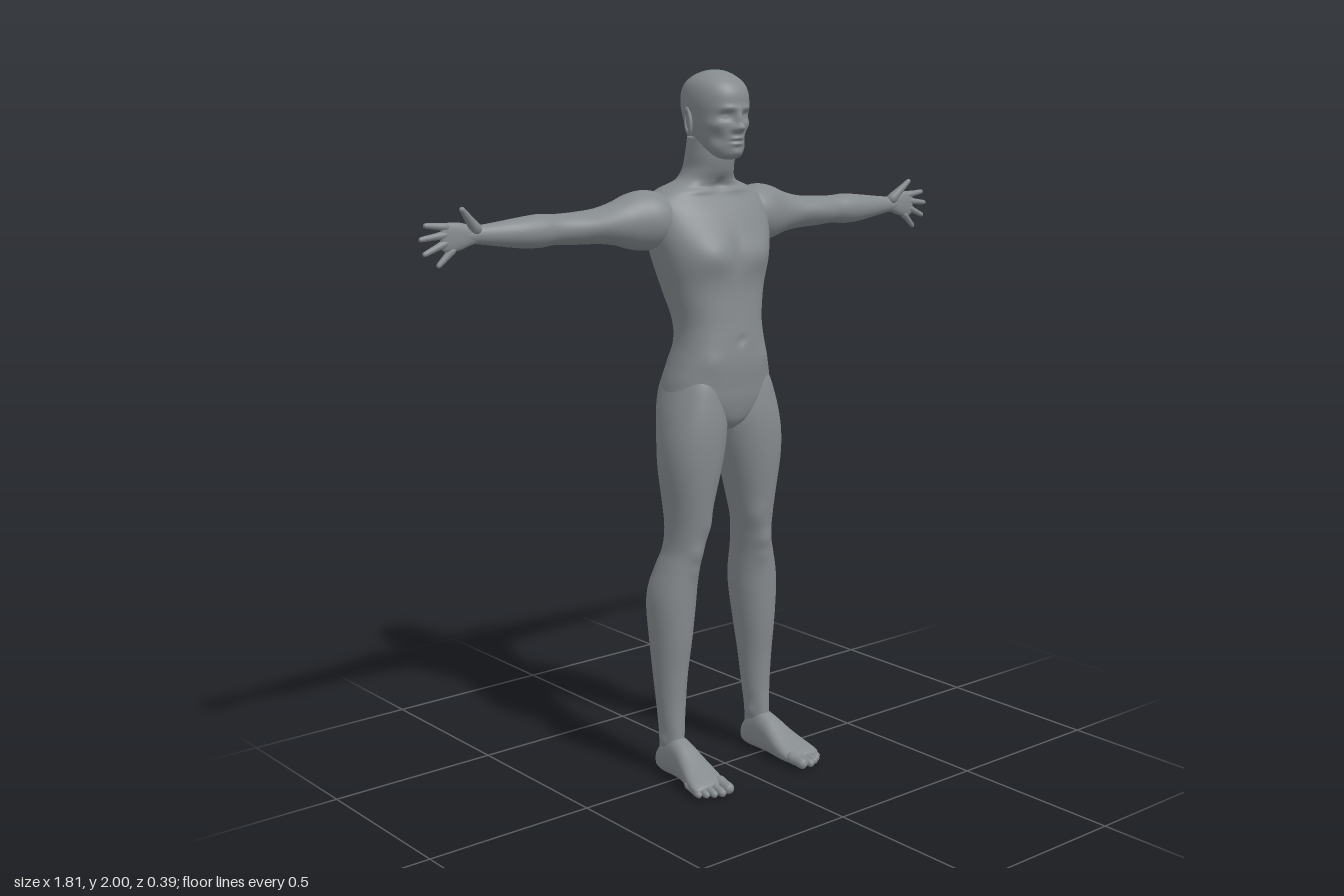
import * as THREE from 'three';

// Uniform Catmull-Rom blend of four numbers
const blend = (p, q, r, s, u) =>
  0.5 * (2 * q + (r - p) * u + (2 * p - 5 * q + 4 * r - s) * u * u + (3 * q - p - 3 * r + s) * u * u * u);

// Axis mappings: (across a, along t, across b) -> x, y, z
const alongY = (a, t, b) => [a, t, b];
const alongX = (a, t, b) => [t, b, a];
const alongZ = (a, t, b) => [b, a, t];

// Soft bumps: [x, y, z, rx, ry, rz, dx, dy, dz]; a bump off the centre line is mirrored
function sculpt(p, bumps) {
  const out = [...p];
  for (const [x, y, z, rx, ry, rz, dx, dy, dz] of bumps) {
    for (const s of x === 0 ? [1] : [1, -1]) {
      const w = Math.exp(-(((p[0] - s * x) / rx) ** 2) - ((p[1] - y) / ry) ** 2 - ((p[2] - z) / rz) ** 2);
      out[0] += s * dx * w;
      out[1] += dy * w;
      out[2] += dz * w;
    }
  }
  return out;
}

// Smooth closed skin over rows [t, aMin, aMax, bMin, bMax]
function loft(rows, { map = alongY, sides = 48, steps = 6, power = 2, bumps = [] } = {}) {
  const pos = [], index = [], last = rows.length - 1;
  const rings = last * steps + 1;
  const pow = (v) => Math.sign(v) * Math.abs(v) ** (2 / power);
  const put = (a, t, b) => pos.push(...sculpt(map(a, t, b), bumps));
  const section = (k) => {
    const i = Math.min(Math.floor(k / steps), last - 1), u = k / steps - i;
    return rows[0].map((_, c) => blend(rows[Math.max(i - 1, 0)][c], rows[i][c],
      rows[i + 1][c], rows[Math.min(i + 2, last)][c], u));
  };
  for (let k = 0; k < rings; k++) {
    const [t, a0, a1, b0, b1] = section(k);
    for (let j = 0; j < sides; j++) {
      const q = (j / sides) * Math.PI * 2;
      put((a0 + a1) / 2 + ((a1 - a0) / 2) * pow(Math.cos(q)), t, (b0 + b1) / 2 + ((b1 - b0) / 2) * pow(Math.sin(q)));
    }
  }
  for (const k of [0, rings - 1]) {
    const [t, a0, a1, b0, b1] = section(k);
    put((a0 + a1) / 2, t, (b0 + b1) / 2);
  }
  const bottom = rings * sides, top = bottom + 1;
  for (let j = 0; j < sides; j++) {
    const n = (j + 1) % sides, e = (rings - 1) * sides;
    for (let k = 0; k < rings - 1; k++) {
      const o = k * sides;
      index.push(o + j, o + sides + j, o + n, o + n, o + sides + j, o + sides + n);
    }
    index.push(bottom, j, n, top, e + n, e + j);
  }
  const g = new THREE.BufferGeometry();
  g.setAttribute('position', new THREE.Float32BufferAttribute(pos, 3));
  g.setIndex(index);
  g.computeVertexNormals();
  return g;
}

// Tapered round-tipped finger or toe between two points
function digit(from, to, r0, r1) {
  const a = new THREE.Vector3(...from), d = new THREE.Vector3(...to).sub(a), L = d.length();
  const rows = [[0, r0 * 0.6], [L * 0.15, r0], [L * 0.5, (r0 + r1) * 0.48], [L * 0.8, r1],
    [L - r1 * 0.3, r1 * 0.75], [L, r1 * 0.15]].map(([t, r]) => [t, -r, r, -r, r]);
  const turn = new THREE.Quaternion().setFromUnitVectors(new THREE.Vector3(0, 1, 0), d.normalize());
  return loft(rows, { sides: 16, steps: 4 }).applyQuaternion(turn).translate(a.x, a.y, a.z);
}

// Mirror across x = 0, keeping faces outward
function mirrored(g) {
  const m = g.clone().scale(-1, 1, 1), ix = m.index;
  for (let i = 0; i < ix.count; i += 3) {
    const b = ix.getX(i + 1);
    ix.setX(i + 1, ix.getX(i + 2));
    ix.setX(i + 2, b);
  }
  m.computeVertexNormals();
  return m;
}

export function createModel() {
  const model = new THREE.Group();
  model.name = 'humanFigure';
  const clay = new THREE.MeshStandardMaterial({ color: 0x858a8d });
  clay.name = 'greyClay';
  const add = (name, g) => {
    const mesh = new THREE.Mesh(g, clay);
    mesh.name = name;
    model.add(mesh);
  };
  const pair = (name, g) => {
    add('left' + name, g);
    add('right' + name, mirrored(g));
  };
  const symmetric = (rows) => rows.map(([y, w, back, front]) => [y, -w, w, back, front]);

  // Torso and neck: half width, back, front
  add('torso', loft(symmetric([
    [1.01, 0.02, -0.07, 0.03], [1.04, 0.09, -0.125, 0.055], [1.09, 0.163, -0.148, 0.068],
    [1.14, 0.168, -0.155, 0.073], [1.2, 0.152, -0.145, 0.078], [1.26, 0.136, -0.13, 0.075],
    [1.32, 0.133, -0.14, 0.069], [1.4, 0.152, -0.168, 0.062], [1.48, 0.176, -0.188, 0.062],
    [1.55, 0.194, -0.194, 0.048], [1.61, 0.198, -0.188, 0.02], [1.65, 0.19, -0.178, -0.008],
    [1.678, 0.15, -0.165, -0.025], [1.7, 0.092, -0.152, -0.02], [1.73, 0.07, -0.143, -0.005],
    [1.77, 0.066, -0.133, 0.005], [1.82, 0.062, -0.125, 0.005],
  ]), { sides: 80, power: 2.25, bumps: [
    [0.085, 1.5, 0.06, 0.065, 0.045, 0.06, 0, 0, 0.014], // chest
    [0, 1.5, 0.06, 0.014, 0.06, 0.06, 0, 0, -0.007], // breastbone
    [0, 1.36, 0.07, 0.012, 0.09, 0.05, 0, 0, -0.004], // belly line
    [0, 1.265, 0.075, 0.01, 0.011, 0.03, 0, 0, -0.009], // navel
    [0.1, 1.57, -0.18, 0.05, 0.06, 0.05, 0, 0, -0.011], // shoulder blades
    [0, 1.42, -0.18, 0.022, 0.22, 0.07, 0, 0, 0.013], // spine
    [0.075, 1.125, -0.15, 0.055, 0.055, 0.06, 0, 0, -0.016], // buttocks
    [0, 1.09, -0.15, 0.013, 0.06, 0.06, 0, 0, 0.025],
    [0.07, 1.672, -0.02, 0.06, 0.009, 0.04, 0, 0.002, 0.007], // collarbones
    [0, 1.69, -0.02, 0.014, 0.015, 0.03, 0, 0, -0.01],
    [0.1, 1.21, 0.06, 0.03, 0.03, 0.04, 0, 0, 0.004], // hip bones
  ] }));

  // Head: half width, back, front
  add('head', loft(symmetric([
    [1.76, 0.016, 0.0, 0.03], [1.768, 0.037, -0.02, 0.044], [1.79, 0.055, -0.065, 0.052],
    [1.82, 0.067, -0.108, 0.055], [1.85, 0.075, -0.13, 0.057], [1.88, 0.081, -0.142, 0.058],
    [1.91, 0.085, -0.147, 0.06], [1.94, 0.083, -0.144, 0.056], [1.965, 0.074, -0.13, 0.04],
    [1.985, 0.053, -0.103, 0.012], [1.997, 0.026, -0.07, -0.017], [2.0, 0.004, -0.046, -0.036],
  ]), { sides: 112, steps: 8, power: 2.1, bumps: [
    [0, 1.87, 0.06, 0.011, 0.022, 0.03, 0, 0, 0.014], // nose
    [0, 1.845, 0.06, 0.015, 0.011, 0.03, 0, 0, 0.022],
    [0.014, 1.842, 0.06, 0.007, 0.007, 0.03, 0, 0, 0.005],
    [0.033, 1.877, 0.055, 0.018, 0.011, 0.03, 0, 0, -0.013], // eyes
    [0.033, 1.876, 0.05, 0.011, 0.006, 0.03, 0, 0, 0.006],
    [0.032, 1.898, 0.055, 0.026, 0.008, 0.03, 0, 0, 0.005], // brows
    [0.056, 1.853, 0.03, 0.016, 0.014, 0.03, 0.004, 0, 0.003], // cheekbones
    [0.05, 1.818, 0.03, 0.016, 0.018, 0.03, -0.004, 0, -0.004],
    [0, 1.817, 0.055, 0.02, 0.006, 0.03, 0, 0, 0.008], // lips
    [0, 1.803, 0.055, 0.018, 0.006, 0.03, 0, 0, 0.008],
    [0, 1.81, 0.055, 0.022, 0.0035, 0.03, 0, 0, -0.006],
    [0, 1.778, 0.05, 0.02, 0.012, 0.03, 0, 0, 0.006], // chin
  ] }));

  // Ears: flat shell with a raised rim
  const place = (g) => g.rotateY(0.3).rotateX(-0.15).translate(0.085, 1.862, -0.05);
  pair('Ear', place(new THREE.SphereGeometry(1, 24, 16).scale(0.006, 0.033, 0.019)));
  pair('EarRim', place(new THREE.TorusGeometry(0.017, 0.0045, 10, 32).rotateY(Math.PI / 2)
    .scale(1, 1.85, 1).translate(0.004, 0, 0)));

  // Arms: z range, y range along x
  pair('Arm', loft([
    [0.1, -0.15, -0.06, 1.56, 1.64], [0.15, -0.172, -0.025, 1.53, 1.667], [0.2, -0.182, -0.02, 1.515, 1.679],
    [0.25, -0.178, -0.033, 1.52, 1.672], [0.3, -0.17, -0.045, 1.534, 1.653], [0.36, -0.165, -0.05, 1.542, 1.638],
    [0.43, -0.16, -0.052, 1.545, 1.632], [0.5, -0.153, -0.06, 1.549, 1.63], [0.55, -0.15, -0.058, 1.545, 1.633],
    [0.61, -0.145, -0.062, 1.548, 1.628], [0.68, -0.135, -0.075, 1.558, 1.62], [0.74, -0.126, -0.084, 1.567, 1.614],
    [0.78, -0.12, -0.09, 1.57, 1.61],
  ], { map: alongX, bumps: [
    [0.38, 1.6, -0.05, 0.06, 0.03, 0.03, 0, 0, 0.006], // biceps
    [0.5, 1.585, -0.155, 0.025, 0.02, 0.03, 0, 0, -0.005], // elbow
  ] }));

  // Hands: palm, four fingers and thumb
  pair('Palm', loft([
    [0.735, -0.122, -0.086, 1.57, 1.612], [0.76, -0.12, -0.088, 1.565, 1.618], [0.79, -0.118, -0.09, 1.555, 1.625],
    [0.82, -0.115, -0.093, 1.551, 1.627], [0.838, -0.112, -0.096, 1.555, 1.623], [0.845, -0.107, -0.1, 1.565, 1.615],
  ], { map: alongX, sides: 32, power: 2.4 }));
  const fingers = [[1.615, 0.892, 1.623], [1.598, 0.906, 1.588], [1.58, 0.896, 1.549], [1.563, 0.856, 1.516]];
  fingers.forEach(([y, tipX, tipY], i) =>
    pair('Finger' + (i + 1), digit([i === 3 ? 0.805 : 0.82, y, -0.104], [tipX, tipY, -0.106], 0.0105, 0.0075)));
  pair('Thumb', digit([0.738, 1.598, -0.098], [0.802, 1.664, -0.073], 0.016, 0.0085));

  // Legs: x range, z range going up
  pair('Leg', loft([
    [0.03, 0.138, 0.188, -0.085, -0.012], [0.08, 0.136, 0.19, -0.09, 0.0], [0.13, 0.131, 0.194, -0.09, -0.002],
    [0.2, 0.122, 0.2, -0.095, -0.005], [0.3, 0.113, 0.207, -0.108, 0.0], [0.4, 0.1, 0.214, -0.122, 0.011],
    [0.5, 0.087, 0.22, -0.132, 0.017], [0.56, 0.083, 0.214, -0.129, 0.02], [0.62, 0.08, 0.196, -0.114, 0.025],
    [0.67, 0.074, 0.18, -0.1, 0.031], [0.73, 0.066, 0.176, -0.096, 0.043], [0.8, 0.05, 0.182, -0.105, 0.055],
    [0.9, 0.024, 0.197, -0.115, 0.068], [0.97, 0.009, 0.2, -0.12, 0.073], [1.03, 0.002, 0.194, -0.13, 0.073],
    [1.09, 0.006, 0.181, -0.142, 0.067], [1.15, 0.02, 0.16, -0.138, 0.055], [1.2, 0.045, 0.13, -0.1, 0.03],
  ], { power: 2.1, bumps: [
    [0.125, 0.665, 0.03, 0.03, 0.03, 0.03, 0, 0, 0.008], // kneecap
    [0.125, 0.61, 0.03, 0.018, 0.02, 0.03, 0, 0, 0.004],
    [0.09, 0.74, 0.03, 0.03, 0.04, 0.04, -0.004, 0, 0.005], // inner thigh muscle
    [0.15, 0.53, -0.13, 0.012, 0.07, 0.03, 0, 0, 0.005], // calf split
    [0.132, 0.12, -0.04, 0.015, 0.018, 0.018, -0.006, 0, 0], // ankle bones
    [0.194, 0.105, -0.05, 0.015, 0.018, 0.018, 0.006, 0, 0],
  ] }));

  // Feet: y range, x range going forward
  pair('Foot', loft([
    [-0.097, 0.018, 0.042, 0.15, 0.176], [-0.09, 0.005, 0.068, 0.138, 0.188], [-0.06, 0, 0.1, 0.13, 0.196],
    [-0.02, 0, 0.12, 0.128, 0.198], [0.02, 0, 0.108, 0.126, 0.204], [0.06, 0, 0.084, 0.121, 0.215],
    [0.1, 0, 0.061, 0.118, 0.228], [0.135, 0.002, 0.043, 0.12, 0.235], [0.153, 0.006, 0.033, 0.126, 0.23],
    [0.158, 0.012, 0.026, 0.138, 0.215],
  ], { map: alongZ, sides: 40, power: 2.4 }));
  const toes = [[0.139, 0.198, 0.0175], [0.166, 0.199, 0.0125], [0.188, 0.189, 0.0118], [0.207, 0.177, 0.0112], [0.223, 0.162, 0.011]];
  toes.forEach(([x, z, r], i) =>
    pair('Toe' + (i + 1), digit([x - 0.002, 0.026, z - 0.07], [x + 0.003, r * 0.95, z], r, r * 0.92)));

  return model;
}
